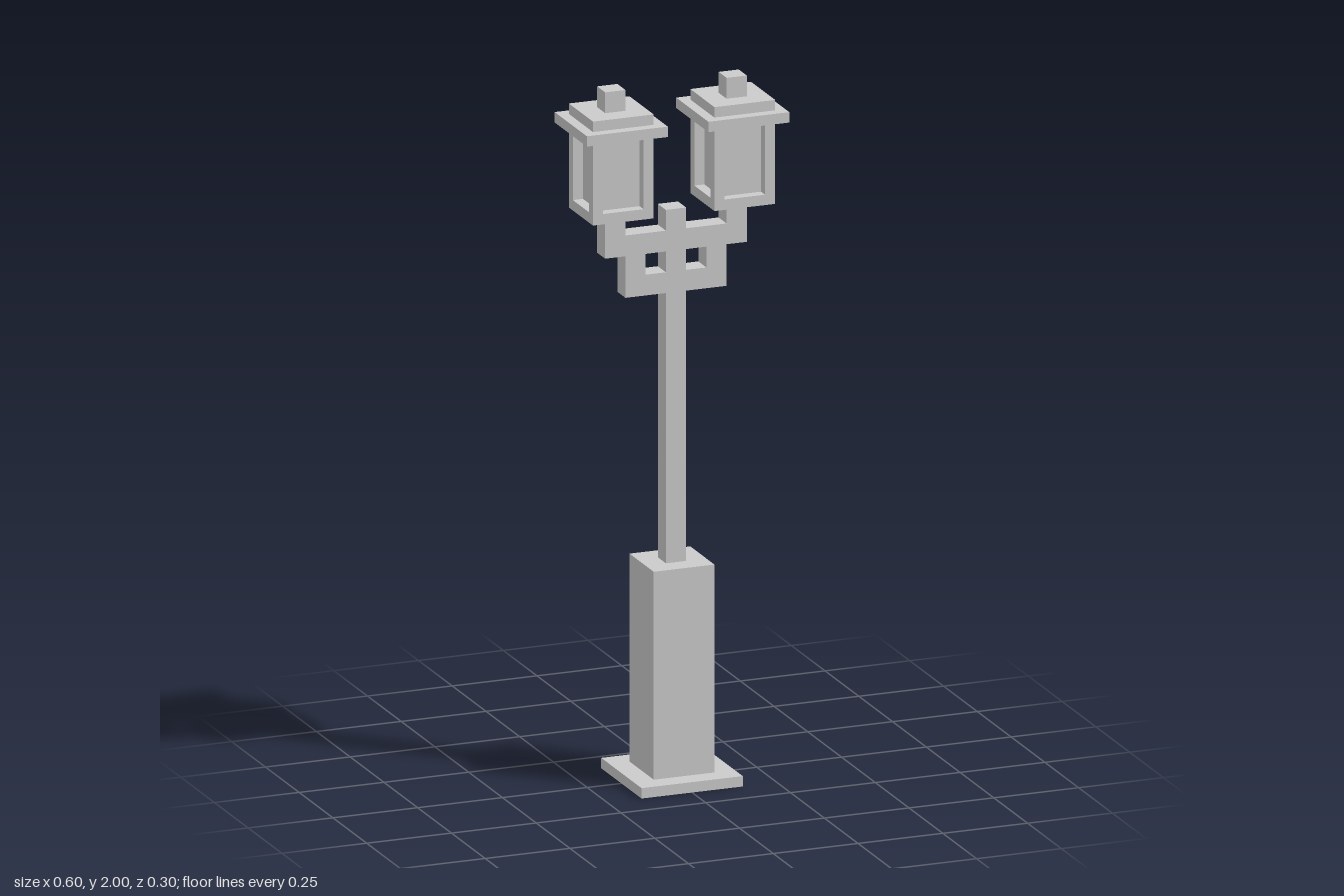
import * as THREE from 'three';

const U = 2 / 67; // the whole lamp sits on a grid of 67 units in height
const material = new THREE.MeshStandardMaterial({ color: 0xcccccc, flatShading: true });

// Box given by its x, y and z ranges in grid units
function box(parent, name, [x0, x1], [y0, y1], [z0, z1]) {
  const geometry = new THREE.BoxGeometry((x1 - x0) * U, (y1 - y0) * U, (z1 - z0) * U);
  const mesh = new THREE.Mesh(geometry, material);
  mesh.position.set((x0 + x1) * U / 2, (y0 + y1) * U / 2, (z0 + z1) * U / 2);
  mesh.name = name;
  parent.add(mesh);
}

// Box with a square footprint centred on its parent
function block(parent, name, half, y0, y1) {
  box(parent, name, [-half, half], [y0, y1], [-half, half]);
}

function createLantern() {
  const lantern = new THREE.Group();
  block(lantern, 'lanternFloor', 3, 55, 56);
  block(lantern, 'glass', 2, 56, 63);
  for (const x of [-3, 2]) {
    for (const z of [-3, 2]) box(lantern, 'cornerPost', [x, x + 1], [56, 63], [z, z + 1]);
  }
  block(lantern, 'roof', 4, 63, 64);
  block(lantern, 'roofCap', 3, 64, 65);
  block(lantern, 'finial', 1, 65, 67);
  return lantern;
}

// Stepped bracket on one side, with a square window beside the pole
function createBracket(side) {
  const bracket = new THREE.Group();
  const part = (name, a, b, y0, y1) =>
    box(bracket, name, side > 0 ? [a, b] : [-b, -a], [y0, y1], [-1, 1]);
  part('lowerArm', 1, 5, 47, 49);
  part('strut', 3, 5, 49, 51);
  part('upperArm', 1, 7, 51, 53);
  part('lanternStem', 5, 7, 53, 55);
  return bracket;
}

export function createModel() {
  const lamp = new THREE.Group();
  lamp.name = 'streetLamp';

  // Base and pole
  block(lamp, 'basePlate', 5, 0, 1);
  block(lamp, 'pedestal', 3, 1, 21);
  block(lamp, 'pole', 1, 21, 55);

  // Twin brackets and lanterns
  for (const [side, label] of [[1, 'left'], [-1, 'right']]) {
    const bracket = createBracket(side);
    bracket.name = label + 'Bracket';
    const lantern = createLantern();
    lantern.name = label + 'Lantern';
    lantern.position.x = side * 6 * U;
    lamp.add(bracket, lantern);
  }
  return lamp;
}
